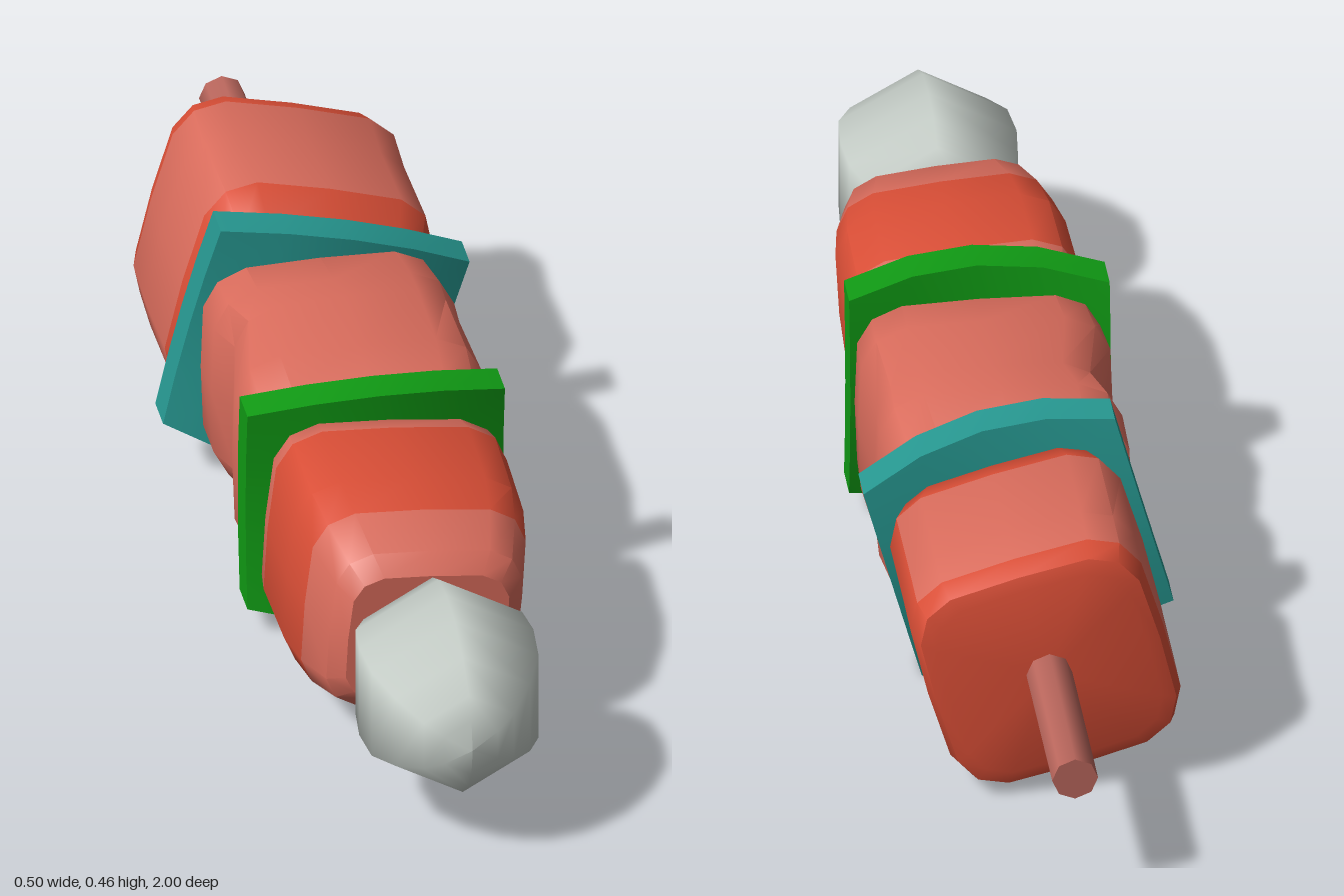
import * as THREE from 'three';
import { toCreasedNormals } from 'three/addons/utils/BufferGeometryUtils.js';

const AXIS_Y = 0.233; // height of the skewer axis

function makeMaterial(name, color) {
  const m = new THREE.MeshStandardMaterial({ color });
  m.name = name;
  return m;
}

// rounded-square outline, counter-clockwise seen from the front
function outline() {
  const quarter = [[1, 0], [0.98, 0.62], [0.86, 0.86], [0.62, 0.98]];
  const points = [];
  for (let q = 0; q < 4; q++) {
    for (let [x, y] of quarter) {
      for (let k = 0; k < q; k++) [x, y] = [-y, x];
      points.push([x, y]);
    }
  }
  return points;
}

// Lofts a chunk through sections [z, centreX, centreY, halfX, halfY], back to front.
// pick(band, side) gives the material index; band -1 is the back cap, the last band the front cap.
function chunk(name, sections, materials, pick, roll) {
  const ring = outline(), n = ring.length, last = sections.length - 1;
  const positions = [];
  for (const [z, cx, cy, hx, hy] of sections) {
    for (const [x, y] of ring) positions.push(cx + x * hx, cy + y * hy, z);
  }
  const back = positions.length / 3, front = back + 1;
  for (const [z, cx, cy] of [sections[0], sections[last]]) positions.push(cx, cy, z);

  const faces = materials.map(() => []);
  for (let j = 0; j < n; j++) {
    const k = (j + 1) % n;
    faces[pick(-1, j)].push(back, k, j);
    faces[pick(last, j)].push(front, last * n + j, last * n + k);
    for (let i = 0; i < last; i++) {
      const a = i * n + j, b = i * n + k;
      faces[pick(i, j)].push(a, b, b + n, a, b + n, a + n);
    }
  }
  let geometry = new THREE.BufferGeometry();
  geometry.setAttribute('position', new THREE.Float32BufferAttribute(positions, 3));
  geometry.setIndex(faces.flat());
  let start = 0;
  faces.forEach((f, i) => {
    geometry.addGroup(start, f.length, i);
    start += f.length;
  });
  geometry = toCreasedNormals(geometry, 0.65);
  const mesh = new THREE.Mesh(geometry, materials);
  mesh.name = name;
  mesh.position.y = AXIS_Y;
  mesh.rotation.z = roll;
  return mesh;
}

// bowed square slice of pepper
function pepperSlice(name, material, z, roll) {
  const geometry = new THREE.BoxGeometry(0.42, 0.364, 0.062, 4, 4, 1);
  const p = geometry.attributes.position;
  for (let i = 0; i < p.count; i++) {
    const u = p.getX(i) / 0.21, v = p.getY(i) / 0.182;
    p.setY(i, p.getY(i) + v * 0.031 * (1 - u * u));
    p.setZ(i, p.getZ(i) - 0.03 * u * u + 0.015 * v * v);
  }
  const mesh = new THREE.Mesh(toCreasedNormals(geometry, 0.6), material);
  mesh.name = name;
  mesh.position.set(0, AXIS_Y, z);
  mesh.rotation.z = roll;
  return mesh;
}

export function createModel() {
  const group = new THREE.Group();
  group.name = 'kebabSkewer';
  const salmon = makeMaterial('paleMeat', 0xd96c5c);
  const red = makeMaterial('redMeat', 0xd94e36);
  const green = makeMaterial('greenPepper', 0x109a14);
  const teal = makeMaterial('tealPepper', 0x26968f);
  const white = makeMaterial('onionWhite', 0xc8d0ca);
  const wood = makeMaterial('stickWood', 0xb9665c);
  const meat = [salmon, red];

  // stick
  const stick = new THREE.Mesh(new THREE.CylinderGeometry(0.037, 0.037, 1.7, 8), wood);
  stick.geometry.rotateX(Math.PI / 2);
  stick.geometry = toCreasedNormals(stick.geometry, 0.9);
  stick.name = 'stick';
  stick.position.set(0, AXIS_Y, -0.15);
  group.add(stick);

  // six-sided onion at the tip
  const profile = [[0, 0.638], [0.075, 0.645], [0.13, 0.68], [0.157, 0.73], [0.164, 0.79],
    [0.157, 0.86], [0.127, 0.92], [0.085, 0.97], [0.05, 0.99], [0, 1]];
  const onion = new THREE.Mesh(
    new THREE.LatheGeometry(profile.map(([r, z]) => new THREE.Vector2(r, z)), 6), white);
  onion.geometry.rotateX(Math.PI / 2);
  onion.name = 'onion';
  onion.position.y = AXIS_Y;
  group.add(onion);

  // front meat: red body between pale ends
  group.add(chunk('frontMeat', [
    [0.255, 0, -0.005, 0.175, 0.165],
    [0.265, 0, -0.005, 0.188, 0.175],
    [0.305, 0, -0.003, 0.193, 0.183],
    [0.45, 0, -0.005, 0.19, 0.18],
    [0.53, 0, -0.006, 0.178, 0.17],
    [0.615, 0, -0.006, 0.155, 0.145],
    [0.643, 0, -0.006, 0.13, 0.115],
  ], meat, (band) => (band === 2 || band === 3 ? 1 : 0), -0.09));

  // middle meat: pale, with a dent on its right side
  group.add(chunk('middleMeat', [
    [-0.23, 0, 0, 0.175, 0.165],
    [-0.215, 0, 0, 0.195, 0.18],
    [-0.13, 0.005, 0.005, 0.2, 0.187],
    [-0.07, 0.014, 0.006, 0.187, 0.189],
    [0.07, 0.003, 0.004, 0.205, 0.187],
    [0.155, 0.003, 0, 0.2, 0.178],
    [0.18, 0.003, 0, 0.18, 0.16],
  ], meat, () => 0, 0));

  // back meat: red ends and left side, pale elsewhere
  const leftSide = [0, 1, 14, 15];
  group.add(chunk('backMeat', [
    [-0.685, 0, 0, 0.165, 0.165],
    [-0.677, 0, 0, 0.186, 0.187],
    [-0.64, 0, 0, 0.196, 0.2],
    [-0.55, 0, -0.006, 0.196, 0.2],
    [-0.39, 0, 0, 0.196, 0.202],
    [-0.31, 0, -0.002, 0.175, 0.168],
    [-0.295, 0, -0.002, 0.155, 0.15],
  ], meat, (band, side) => (band < 2 || band > 3 || leftSide.includes(side) ? 1 : 0), -0.26));

  // pepper slices
  group.add(pepperSlice('greenPepperSlice', green, 0.215, 0));
  group.add(pepperSlice('tealPepperSlice', teal, -0.262, -0.262));
  return group;
}
